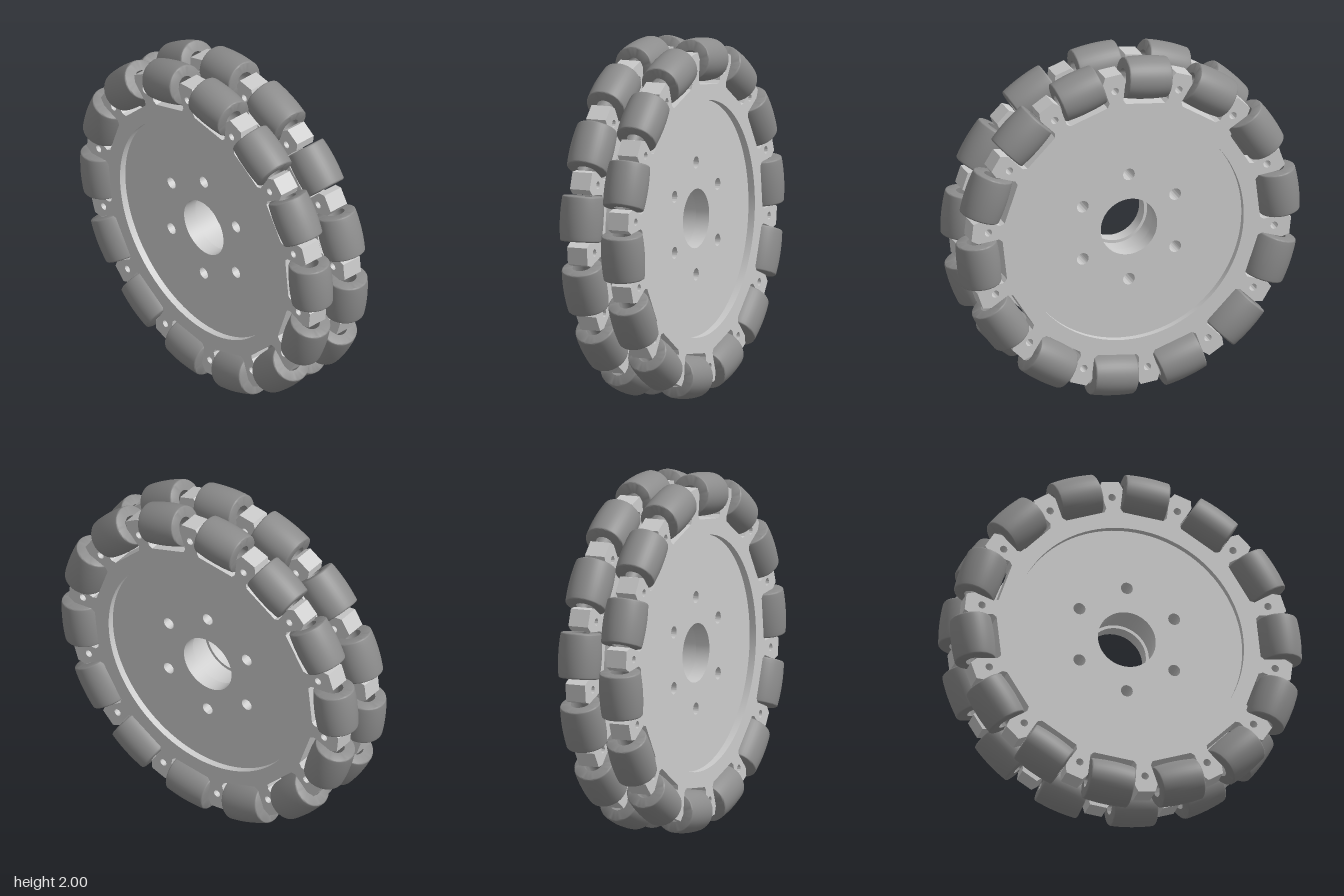
import * as THREE from 'three';
import { toCreasedNormals } from 'three/addons/utils/BufferGeometryUtils.js';

const COUNT = 14, PITCH = (Math.PI * 2) / COUNT, PHASE = PITCH / 4;
const ROLLER_R = 0.121, ROLLER_HALF = 0.127, AXIS_R = 1 - ROLLER_R, ROW_Z = 0.127;

const metal = new THREE.MeshStandardMaterial({ color: 0xf0f0f0 });
const rubber = new THREE.MeshStandardMaterial({ color: 0x8c8c8c });

// Point in the wheel plane: angle runs clockwise from the top
const polar = (r, a) => new THREE.Vector2(r * Math.sin(a), r * Math.cos(a));

function circleHole(r, centre = new THREE.Vector2()) {
  return new THREE.Path().absarc(centre.x, centre.y, r, 0, Math.PI * 2, true);
}

function boltHoles() {
  return Array.from({ length: 6 }, (_, i) => circleHole(0.034, polar(0.312, (i * Math.PI) / 3)));
}

function slab(name, shape, z0, z1) {
  const geo = new THREE.ExtrudeGeometry(shape, { depth: z1 - z0, bevelEnabled: false, curveSegments: 48 });
  const mesh = new THREE.Mesh(toCreasedNormals(geo, 0.6), metal);
  mesh.name = name;
  mesh.position.z = z0;
  return mesh;
}

// Plate outline: a pocket for each roller with a flared, chamfered lug after it
function plateShape() {
  const pts = [];
  const pocket = [[-0.133, 0.885], [-0.133, 0.765], [-0.115, 0.745],
    [0.115, 0.745], [0.133, 0.765], [0.133, 0.885]];
  for (let i = 0; i < COUNT; i++) {
    const a = PHASE + i * PITCH;
    for (const [t, r] of pocket) {
      pts.push(new THREE.Vector2(
        t * Math.cos(a) + r * Math.sin(a),
        -t * Math.sin(a) + r * Math.cos(a)));
    }
    const mid = a + PITCH / 2;
    pts.push(polar(0.937, mid - 0.052), polar(0.937, mid + 0.052));
  }
  // Counter-clockwise outline, so the clockwise holes face inwards
  const shape = new THREE.Shape(pts.reverse());
  // Pin hole in each lug
  for (let i = 0; i < COUNT; i++) {
    shape.holes.push(circleHole(0.021, polar(0.842, PHASE + (i + 0.5) * PITCH)));
  }
  return shape;
}

// Hollow barrel whose outer curve follows the wheel's rim, with softened ends
function rollerGeometry() {
  const bore = 0.052, edge = 0.01, side = [];
  const radius = (y) => Math.sqrt(1 - y * y) - AXIS_R;
  const shoulder = ROLLER_HALF - edge;
  const shoulderR = radius(shoulder);
  for (let i = 0; i <= 10; i++) {
    const y = shoulder * (i / 5 - 1);
    side.push(new THREE.Vector2(radius(y), y));
  }
  const fillet = [1, 2, 3, 4].map((i) => {
    const a = (i / 4) * (Math.PI / 2);
    return new THREE.Vector2(shoulderR - edge * (1 - Math.cos(a)), shoulder + edge * Math.sin(a));
  });
  const lowFillet = fillet.map((p) => new THREE.Vector2(p.x, -p.y)).reverse();
  const low = new THREE.Vector2(bore, -ROLLER_HALF);
  const high = new THREE.Vector2(bore, ROLLER_HALF);
  const profile = [low, ...lowFillet, ...side, ...fillet, high, low];
  return toCreasedNormals(new THREE.LatheGeometry(profile, 40), 0.6);
}

function buildRow(name, rollerGeo) {
  const row = new THREE.Group();
  row.name = name;

  const web = plateShape();
  web.holes.push(circleHole(0.165), ...boltHoles());
  row.add(slab('plateWeb', web, 0.066, 0.148));

  // Raised outer ring around the recessed face
  const ring = plateShape();
  ring.holes.push(circleHole(0.658));
  row.add(slab('plateRim', ring, 0.148, 0.187));

  for (let i = 0; i < COUNT; i++) {
    const a = PHASE + i * PITCH;
    const p = polar(AXIS_R, a);
    const roller = new THREE.Mesh(rollerGeo, rubber);
    roller.name = 'roller';
    roller.position.set(p.x, p.y, ROW_Z);
    roller.rotation.z = Math.PI / 2 - a;
    row.add(roller);
  }
  return row;
}

export function createModel() {
  const wheel = new THREE.Group();
  wheel.name = 'omniWheel';
  const rollerGeo = rollerGeometry();

  // Two identical rows back to back, so the rollers are staggered
  const front = buildRow('frontRow', rollerGeo);
  const back = buildRow('backRow', rollerGeo);
  back.rotation.y = Math.PI;

  // Core between the plates, with a slightly wider bore
  const core = new THREE.Shape().absarc(0, 0, 0.7, 0, Math.PI * 2, false);
  core.holes.push(circleHole(0.182), ...boltHoles());

  wheel.add(front, back, slab('core', core, -0.066, 0.066));
  wheel.position.y = 1;

  const model = new THREE.Group();
  model.add(wheel);
  return model;
}
